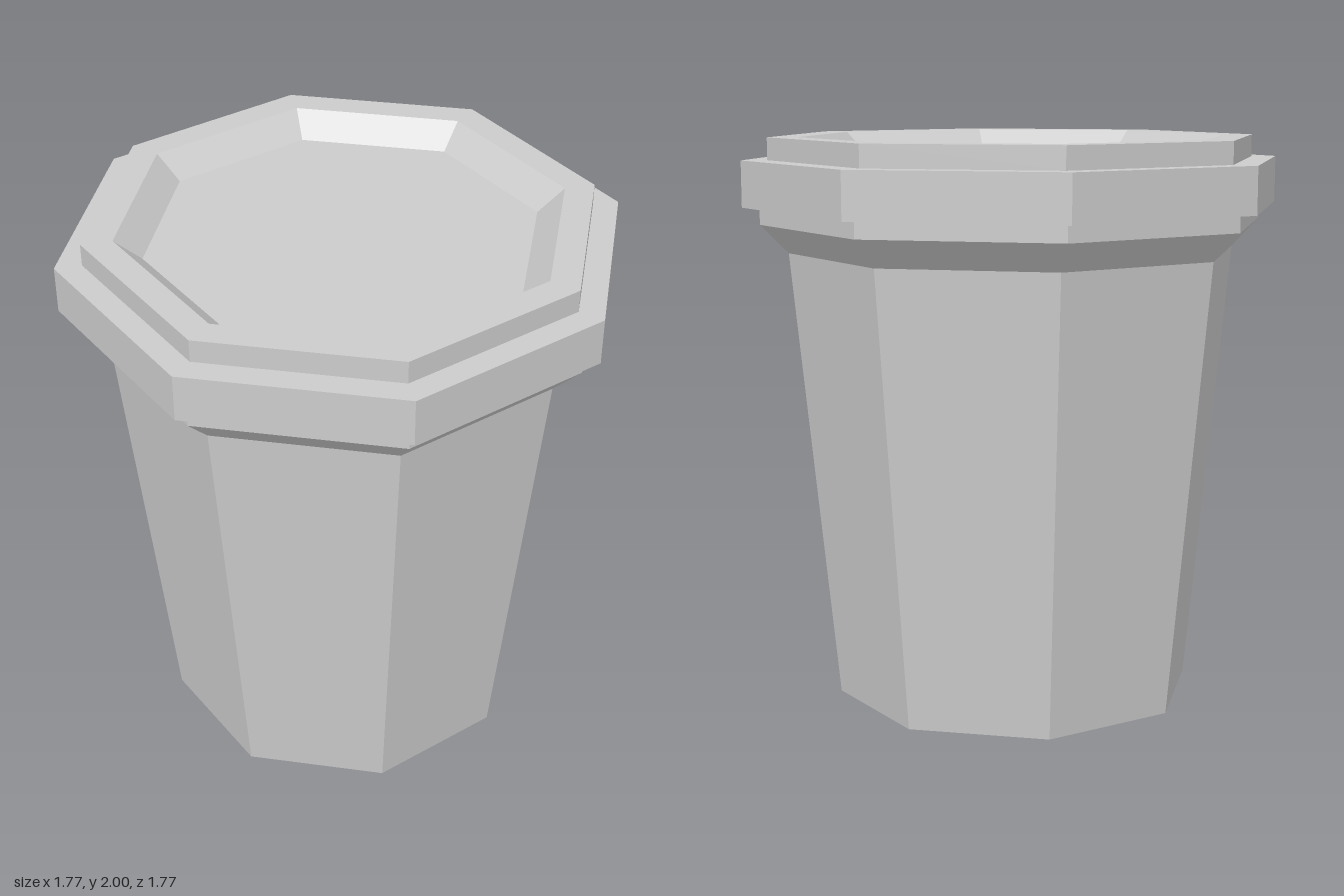
import * as THREE from 'three';

const SIDES = 8;

// Eight-sided turned part; profile is [distance to flat side, height], bottom to top
function octagonPart(name, profile) {
  const toCorner = 1 / Math.cos(Math.PI / SIDES);
  const points = profile.map(([r, y]) => new THREE.Vector2(r * toCorner, y));
  const geometry = new THREE.LatheGeometry(points, SIDES, Math.PI / SIDES);
  const material = new THREE.MeshStandardMaterial({
    color: 0xcccccc,
    flatShading: true,
    side: THREE.DoubleSide,
  });
  const mesh = new THREE.Mesh(geometry, material);
  mesh.name = name;
  return mesh;
}

export function createModel() {
  const group = new THREE.Group();
  group.name = 'lidded cup';

  // Tapered cup with closed base, flared collar under the lid
  group.add(octagonPart('cup', [
    [0, 0], [0.594, 0], [0.74, 1.6], [0.83, 1.7], [0.83, 1.76],
  ]));

  // Lid: wide skirt, raised rim, sloped recess and sunken floor
  group.add(octagonPart('lid', [
    [0.82, 1.76], [0.886, 1.76], [0.886, 1.922], [0.802, 1.922],
    [0.802, 2], [0.705, 2], [0.62, 1.92], [0, 1.92],
  ]));

  return group;
}
